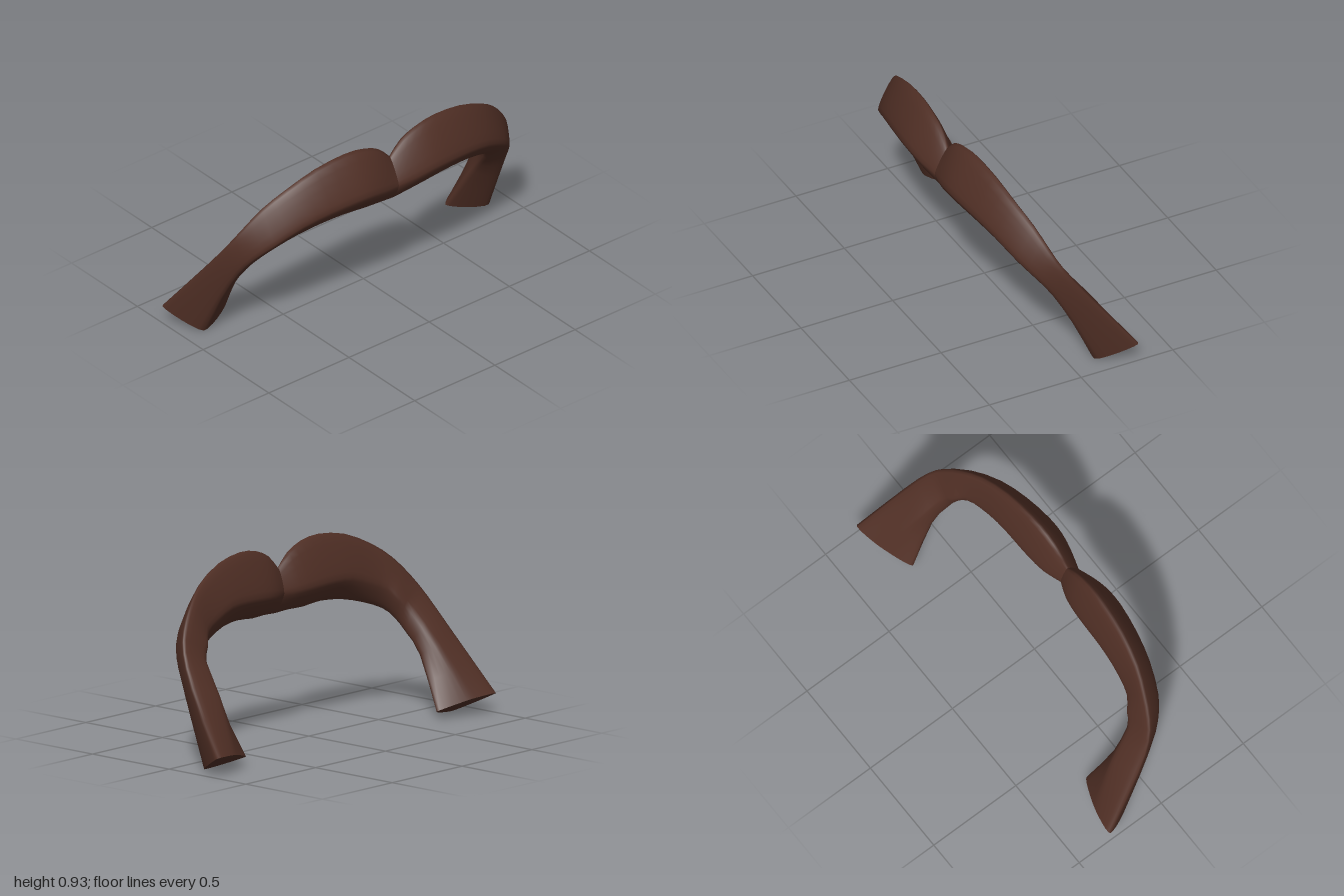
import * as THREE from 'three';

// Four rails run from the middle to the tip of one half: x, y, z per station
const RAILS = {
  top: [[0, .8, .2], [.07, .87, .2], [.16, .91, .2], [.28, .925, .195], [.45, .9, .18], [.61, .83, .15],
    [.72, .75, .11], [.81, .65, .07], [.87, .55, .02], [.92, .4, -.08], [1, .095, -.31]],
  front: [[0, .67, .27], [.09, .69, .295], [.18, .71, .31], [.28, .715, .31], [.43, .7, .29], [.58, .66, .255],
    [.72, .58, .2], [.8, .5, .135], [.84, .4, .065], [.87, .22, -.03], [.89, 0, -.13]],
  bottom: [[0, .575, .22], [.09, .58, .215], [.18, .58, .205], [.3, .59, .2], [.43, .58, .18], [.55, .55, .15],
    [.65, .51, .115], [.7, .46, .08], [.72, .39, .02], [.73, .29, -.06], [.685, .04, -.21]],
  back: [[0, .68, .16], [.09, .69, .125], [.2, .7, .11], [.32, .705, .105], [.43, .7, .1], [.55, .66, .09],
    [.64, .62, .07], [.69, .56, .03], [.74, .5, 0], [.78, .34, -.13], [.85, .088, -.29]],
};
const STEPS = 20;
const SIDES = 24;

// Closed, softly rounded sections through the four rails
function makeRings() {
  const rails = Object.values(RAILS).map((r) =>
    new THREE.CatmullRomCurve3(r.map((p) => new THREE.Vector3(...p)), false, 'catmullrom', 0.5));
  return Array.from({ length: STEPS + 1 }, (_, i) => {
    const keys = rails.map((r) => r.getPoint(i / STEPS));
    return new THREE.CatmullRomCurve3(keys, true, 'catmullrom', 0.32).getPoints(SIDES).slice(0, SIDES);
  });
}

function makeGeometry(points, index, side) {
  const g = new THREE.BufferGeometry().setFromPoints(
    points.map((p) => new THREE.Vector3(p.x * side, p.y, p.z)));
  // A mirrored half needs its triangles turned round
  if (side < 0) index.reverse();
  g.setIndex(index);
  g.computeVertexNormals();
  return g;
}

export function createModel() {
  const brown = new THREE.MeshStandardMaterial({ color: 0x502f25 });
  brown.name = 'dark brown';
  const model = new THREE.Group();
  model.name = 'moustache';
  const rings = makeRings();

  for (const [side, label] of [[1, 'left'], [-1, 'right']]) {
    // Swept half with smooth sides
    const index = [];
    for (let i = 0; i < STEPS; i++) {
      for (let j = 0; j < SIDES; j++) {
        const k = (j + 1) % SIDES;
        const a = i * SIDES + j, b = i * SIDES + k;
        index.push(a, b, a + SIDES, b, b + SIDES, a + SIDES);
      }
    }
    const half = new THREE.Mesh(makeGeometry(rings.flat(), index, side), brown);
    half.name = label + 'Half';

    // Flat cut at the tip
    const ring = rings[STEPS];
    const centre = ring.reduce((s, p) => s.add(p), new THREE.Vector3()).divideScalar(SIDES);
    const capIndex = [];
    for (let j = 0; j < SIDES; j++) capIndex.push(SIDES, j, (j + 1) % SIDES);
    const cap = new THREE.Mesh(makeGeometry([...ring, centre], capIndex, side), brown);
    cap.name = label + 'Tip';
    model.add(half, cap);
  }
  return model;
}
